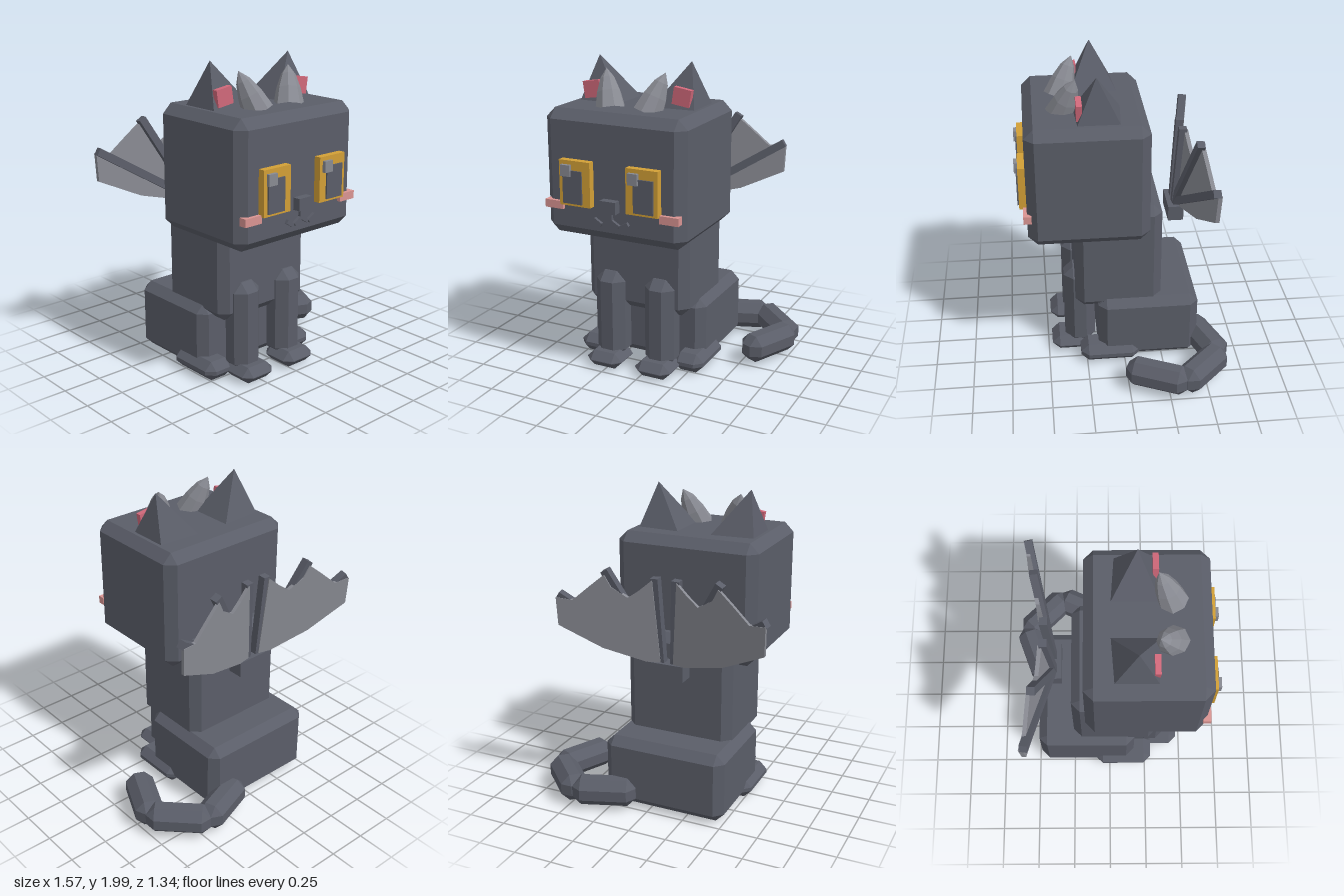
import * as THREE from 'three';
import { ConvexGeometry } from 'three/addons/geometries/ConvexGeometry.js';

const material = (name, color) => {
  const m = new THREE.MeshStandardMaterial({ color, flatShading: true });
  m.name = name;
  return m;
};

export function createModel() {
  const fur = material('slate fur', 0x5a5d68);
  const pale = material('pale grey', 0x888a92);
  const gold = material('gold eye', 0xd29f36);
  const rose = material('rose inner ear', 0xd0687a);
  const blush = material('blush cheek', 0xd99492);

  const model = new THREE.Group();
  const cat = new THREE.Group();
  cat.name = 'cat';
  cat.position.x = -0.095; // the tail takes up the far side
  model.add(cat);

  const add = (parent, name, geometry, mat, x = 0, y = 0, z = 0) => {
    const mesh = new THREE.Mesh(geometry, mat);
    mesh.name = name;
    mesh.position.set(x, y, z);
    parent.add(mesh);
    return mesh;
  };

  // Box with every edge cut at 45 degrees
  const chamferBox = (w, h, d, c) => {
    const points = [];
    for (const x of [-1, 1]) for (const y of [-1, 1]) for (const z of [-1, 1]) {
      for (let axis = 0; axis < 3; axis++) {
        const p = [w / 2 - c, h / 2 - c, d / 2 - c];
        p[axis] += c;
        points.push(new THREE.Vector3(x * p[0], y * p[1], z * p[2]));
      }
    }
    return new ConvexGeometry(points);
  };
  const box = (w, h, d) => new THREE.BoxGeometry(w, h, d);

  // Main blocks
  add(cat, 'head', chamferBox(0.94, 0.78, 0.755, 0.06), fur, 0, 1.34, 0.2225);
  add(cat, 'body', chamferBox(0.715, 0.73, 0.56, 0.055), fur, 0, 0.765, 0.035);
  add(cat, 'haunches', chamferBox(0.815, 0.455, 0.655, 0.055), fur, 0, 0.2475, -0.1575);

  // Nose and mouth
  add(cat, 'nose', box(0.105, 0.075, 0.08), fur, 0, 1.182, 0.61);
  add(cat, 'mouthStem', box(0.02, 0.06, 0.04), fur, 0, 1.117, 0.6);

  // Wing sheet position for a point (x, y)
  const wingZ = (x, y) => -0.355 - 0.2 * x - 0.05 * (y - 1);
  const wingPoint = (x, y) => new THREE.Vector3(x, y, wingZ(x, y));

  for (const s of [1, -1]) {
    const side = new THREE.Group();
    side.name = s > 0 ? 'leftSide' : 'rightSide';
    side.scale.x = s;
    cat.add(side);

    // Legs and paws
    add(side, 'frontLeg', chamferBox(0.205, 0.595, 0.2, 0.06), fur, 0.175, 0.3475, 0.285);
    add(side, 'frontPaw', chamferBox(0.25, 0.105, 0.255, 0.05), fur, 0.175, 0.0625, 0.3475);
    add(side, 'hindPaw', chamferBox(0.21, 0.125, 0.39, 0.05), fur, 0.34, 0.0725, 0.095);

    // Ear: pyramid leaning outward
    add(side, 'ear', new ConvexGeometry([
      [0.105, 1.72, 0], [0.39, 1.72, 0.02], [0.39, 1.72, 0.285], [0.105, 1.72, 0.3], [0.315, 2, 0.16],
    ].map((p) => new THREE.Vector3(...p))), fur);
    add(side, 'innerEar', box(0.115, 0.105, 0.035), rose, 0.305, 1.803, 0.267).rotation.z = -0.15;

    // Horn: tapered lathe tilted back and outward
    const horn = add(side, 'horn', new THREE.LatheGeometry(
      [[0.095, 0], [0.075, 0.11], [0.045, 0.2], [0, 0.265]].map((p) => new THREE.Vector2(...p)), 8),
    pale, 0.125, 1.705, 0.37);
    horn.quaternion.setFromUnitVectors(new THREE.Vector3(0, 1, 0),
      new THREE.Vector3(0.075, 0.235, -0.09).normalize());

    // Face
    add(side, 'eye', box(0.21, 0.28, 0.085), gold, 0.225, 1.3, 0.6025);
    add(side, 'pupil', box(0.13, 0.205, 0.01), fur, 0.238, 1.278, 0.65);
    add(side, 'cheek', box(0.125, 0.05, 0.05), blush, 0.388, 1.147, 0.598);
    add(side, 'innerMouth', box(0.06, 0.022, 0.04), fur, 0.028, 1.073, 0.6).rotation.z = -0.55;
    add(side, 'outerMouth', box(0.06, 0.025, 0.04), fur, 0.09, 1.07, 0.6).rotation.z = 0.55;

    // Wing membrane with scalloped top, sheared to sweep backward
    const outline = new THREE.Shape([
      [0.04, 0.98], [0.4, 1.07], [0.675, 1.2], [0.68, 1.38], [0.575, 1.37], [0.46, 1.47], [0.37, 1.545],
      [0.33, 1.47], [0.23, 1.41], [0.16, 1.46], [0.08, 1.53],
    ].map((p) => new THREE.Vector2(...p)));
    const sheet = new THREE.ExtrudeGeometry(outline, { depth: 0.025, bevelEnabled: false });
    const pos = sheet.attributes.position;
    for (let i = 0; i < pos.count; i++) {
      pos.setZ(i, pos.getZ(i) - 0.03 + wingZ(pos.getX(i), pos.getY(i)));
    }
    sheet.computeVertexNormals();
    add(side, 'wingMembrane', sheet, pale);

    // Wing fingers fanning from the root
    for (const [x, y] of [[0.07, 1.54], [0.375, 1.57], [0.675, 1.395]]) {
      const a = wingPoint(0.045, 1.0);
      const b = wingPoint(x, y);
      const finger = add(side, 'wingFinger', box(0.05, 0.05, a.distanceTo(b)), fur);
      finger.position.copy(a).lerp(b, 0.5);
      finger.lookAt(b);
      finger.quaternion.setFromRotationMatrix(
        new THREE.Matrix4().lookAt(b, a, new THREE.Vector3(0, 0, 1)));
    }
  }

  // Eye glints sit on the same side of both eyes
  for (const x of [-0.277, 0.175]) add(cat, 'eyeGlint', box(0.065, 0.07, 0.025), pale, x, 1.38, 0.655);

  add(cat, 'wingMount', box(0.24, 0.1, 0.1), fur, 0.005, 0.953, -0.36);

  // Tail: three overlapping segments curling forward
  const tail = new THREE.Group();
  tail.name = 'tail';
  model.add(tail);
  for (const [x, z, dx, dz] of [[0.285, -0.535, 0.94, -0.34], [0.587, -0.472, 0.71, 0.71], [0.635, -0.18, -0.42, 0.907]]) {
    const segment = add(tail, 'tailSegment', chamferBox(0.18, 0.18, 0.41, 0.055), fur, x, 0.12, z);
    segment.rotation.y = Math.atan2(dx, dz);
  }
  return model;
}
